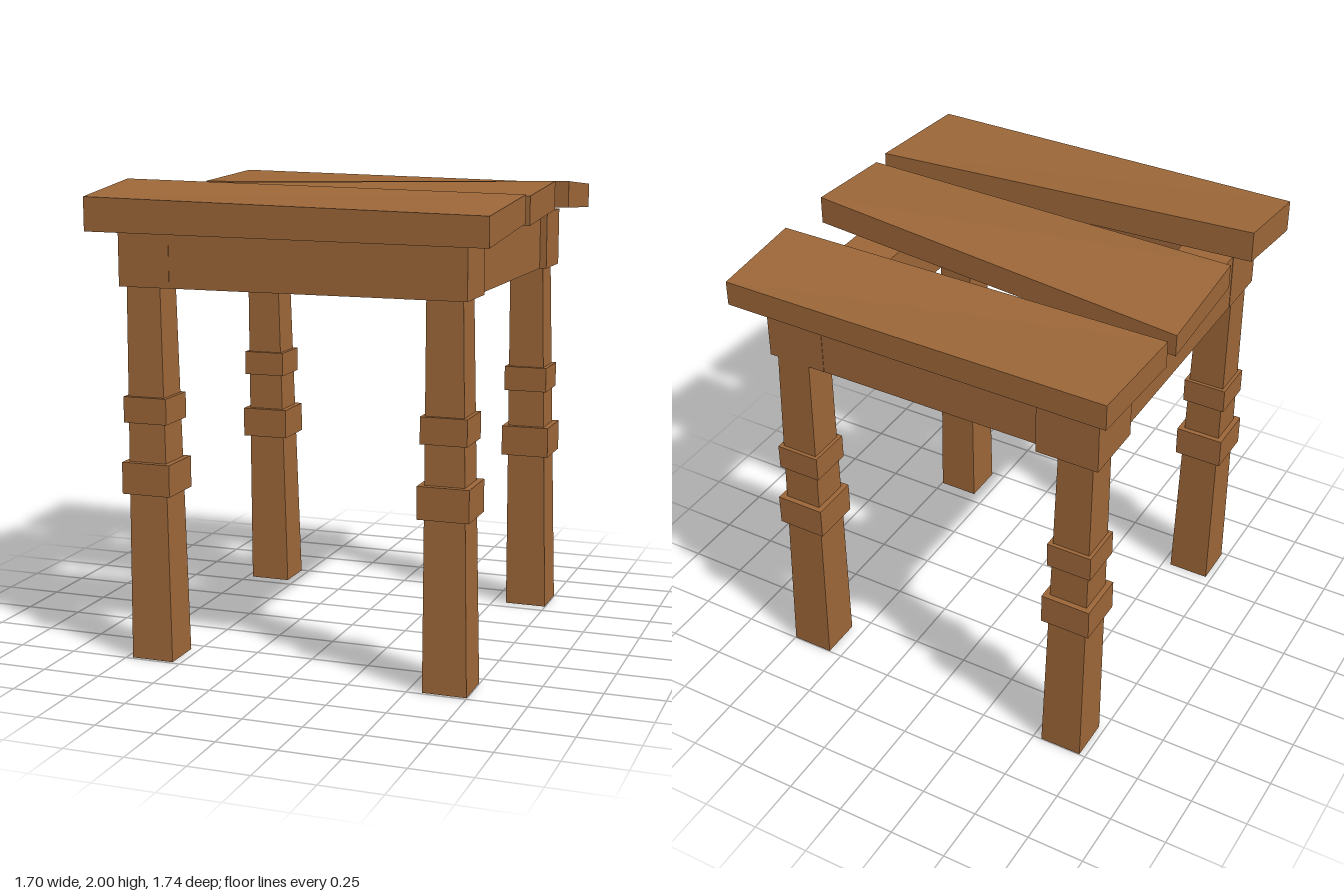
import * as THREE from 'three';

const wood = new THREE.MeshStandardMaterial({ color: 0x9c6638, flatShading: true });

// Six-sided block: place(i, j, k) returns the corner for x, y, z sides 0 or 1
function block(name, place) {
  const geo = new THREE.BoxGeometry(1, 1, 1);
  const p = geo.attributes.position;
  for (let n = 0; n < p.count; n++) {
    p.setXYZ(n, ...place(+(p.getX(n) > 0), +(p.getY(n) > 0), +(p.getZ(n) > 0)));
  }
  geo.computeVertexNormals();
  const mesh = new THREE.Mesh(geo, wood);
  mesh.name = name;
  return mesh;
}

const box = (name, x, y, z) => block(name, (i, j, k) => [x[i], y[j], z[k]]);

// Square post between two centres, with its own width at each end
const post = (name, y, cx, cz, w) => block(name, (i, j, k) =>
  [cx[j] + (i - 0.5) * w[j], y[j], cz[j] + (k - 0.5) * w[j]]);

// Leaning, tapered leg with two collars
function leg(name, cx, cz) {
  const g = new THREE.Group();
  g.name = name;
  const at = (c, y) => c[0] + (c[1] - c[0]) * y / 1.58;
  g.add(post('legPost', [0, 1.6], cx, cz, [0.185, 0.15]));
  for (const [y0, y1, w] of [[0.71, 0.845, 0.215], [1.01, 1.12, 0.193]]) {
    const ym = (y0 + y1) / 2, x = at(cx, ym), z = at(cz, ym);
    g.add(post('legCollar', [y0, y1], [x, x], [z, z], [w, w]));
  }
  return g;
}

// Warped seat plank; each end lists [z, bottom y, top y] for its back and front edge
const plank = (name, rightEnd, leftEnd) => block(name, (i, j, k) => {
  const [z, y0, y1] = (i ? leftEnd : rightEnd)[k];
  return [i ? 0.85 : -0.85, j ? y1 : y0, z];
});

export function createModel() {
  const model = new THREE.Group();
  model.name = 'stool';

  // Legs
  const xs = { Right: [-0.63, -0.665], Left: [0.655, 0.625] };
  const zs = { front: [0.645, 0.605], back: [-0.655, -0.662] };
  for (const sx in xs) for (const sz in zs) model.add(leg(sz + sx + 'Leg', xs[sx], zs[sz]));

  // Apron: corner blocks and the rails between them
  const h = [1.58, 1.83];
  model.add(
    box('frontRightCorner', [-0.75, -0.525], h, [0.49, 0.73]),
    box('frontLeftCorner', [0.475, 0.73], h, [0.49, 0.73]),
    box('backRightCorner', [-0.78, -0.515], h, [-0.78, -0.51]),
    box('backLeftCorner', [0.475, 0.735], h, [-0.74, -0.51]),
    box('frontRail', [-0.525, 0.475], h, [0.495, 0.728]),
    box('backRail', [-0.515, 0.475], h, [-0.738, -0.515]),
    box('rightRail', [-0.748, -0.525], h, [-0.51, 0.49]),
    box('leftRail', [0.478, 0.705], h, [-0.51, 0.49]),
  );

  // Seat planks
  model.add(
    plank('frontPlank',
      [[0.435, 1.865, 2.0], [0.83, 1.81, 1.95]],
      [[0.33, 1.85, 1.965], [0.865, 1.8, 1.92]]),
    plank('middlePlank',
      [[-0.285, 1.83, 1.925], [0.21, 1.865, 1.97]],
      [[-0.165, 1.87, 1.99], [0.26, 1.835, 1.955]]),
    plank('backPlank',
      [[-0.87, 1.86, 1.97], [-0.365, 1.83, 1.945]],
      [[-0.83, 1.835, 1.94], [-0.42, 1.86, 1.975]]),
  );
  return model;
}
